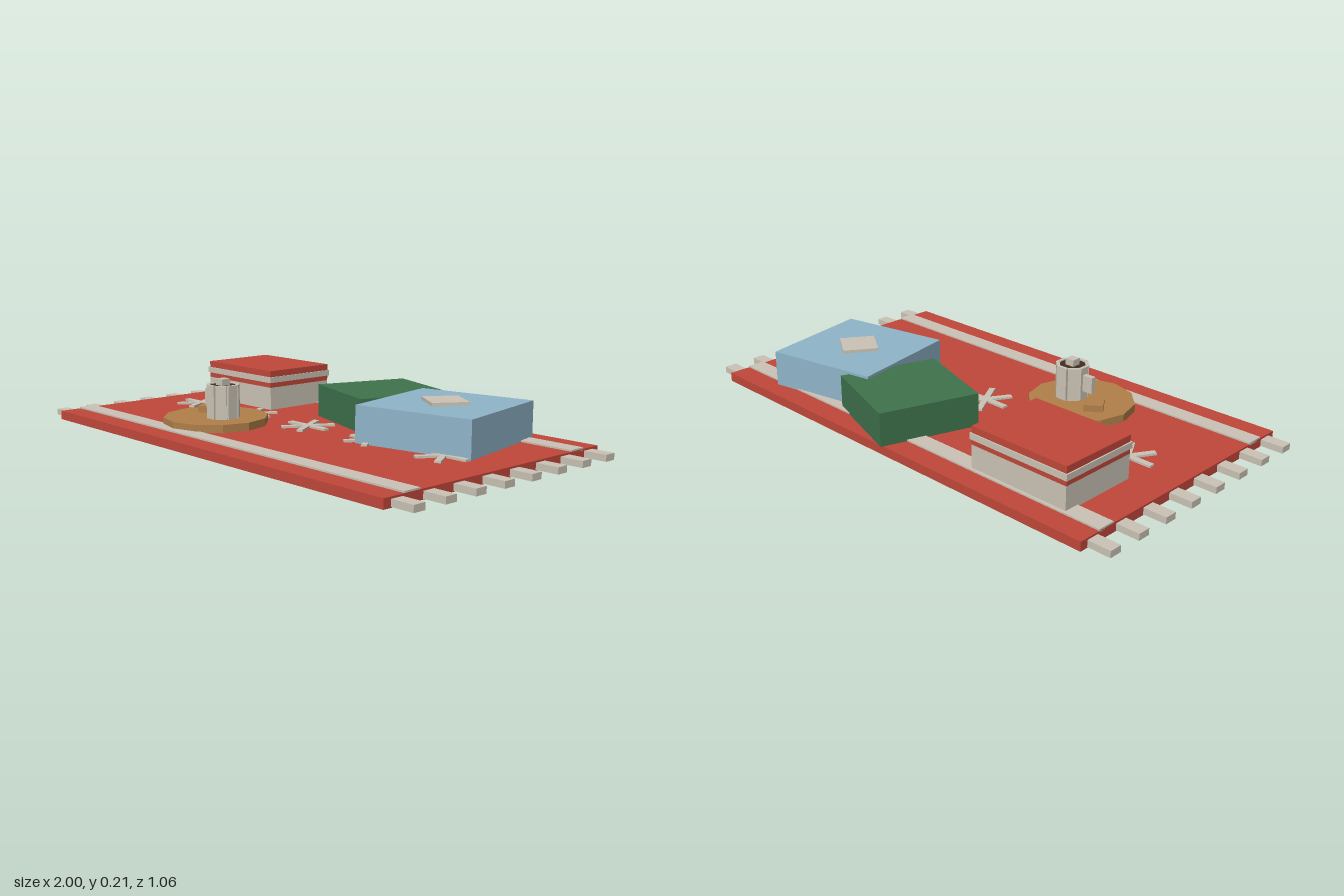
import * as THREE from 'three';

const mat = (name, color) => {
  const m = new THREE.MeshStandardMaterial({ color });
  m.name = name;
  return m;
};

export function createModel() {
  const red = mat('red', 0xc0473a);
  const cream = mat('cream', 0xcbc3b5);
  const green = mat('green', 0x3f724c);
  const blue = mat('pale blue', 0x90b4c9);
  const wood = mat('wood', 0xb07f49);
  const cocoa = mat('cocoa', 0x432e22);

  const model = new THREE.Group();
  model.name = 'rugWithGifts';

  // Box given by width, depth, bottom and top heights, centre and turn about y
  const box = (name, m, w, d, y0, y1, x, z, turn = 0, parent = model) => {
    const mesh = new THREE.Mesh(new THREE.BoxGeometry(w, y1 - y0, d), m);
    mesh.name = name;
    mesh.position.set(x, (y0 + y1) / 2, z);
    mesh.rotation.y = turn;
    parent.add(mesh);
    return mesh;
  };
  const disc = (name, m, r, y0, y1, x, z, sides) => {
    const geo = new THREE.CylinderGeometry(r, r, y1 - y0, sides).toNonIndexed();
    geo.computeVertexNormals();
    const mesh = new THREE.Mesh(geo, m);
    mesh.name = name;
    mesh.position.set(x, (y0 + y1) / 2, z);
    model.add(mesh);
  };

  // Rug with two long stripes and fringe at both ends
  const floor = 0.034, midZ = 0.005;
  box('rug', red, 1.825, 1.055, 0, floor, 0, midZ);
  for (const s of [-1, 1]) {
    box('rugStripe', cream, 1.825, 0.068, floor - 0.005, 0.04, 0, midZ + s * 0.408);
    for (let i = 0; i < 8; i++)
      box('fringe', cream, 0.11, 0.048, 0.003, 0.027, s * 0.945, midZ + (i - 3.5) * 0.135);
  }

  // Row of snowflakes, three crossed bars each
  for (let i = -2; i <= 2; i++) {
    const flake = new THREE.Group();
    flake.name = 'snowflake';
    flake.position.set(i * 0.337, 0, midZ);
    for (let k = 0; k < 3; k++)
      box('snowflakeBar', cream, 0.203, 0.023, floor - 0.004, 0.042, 0, 0, k * Math.PI / 3, flake);
    model.add(flake);
  }

  // Cream gift box with red lid and ribbon band
  box('giftBoxBase', cream, 0.408, 0.312, floor, 0.125, -0.566, -0.27);
  box('giftBoxLid', red, 0.408, 0.312, 0.125, 0.193, -0.566, -0.27);
  box('giftBoxBand', cream, 0.418, 0.322, 0.145, 0.168, -0.566, -0.27);

  // Green and blue parcels
  box('greenParcel', green, 0.377, 0.377, floor, 0.16, 0.098, -0.294, -0.317);
  box('blueParcel', blue, 0.456, 0.453, floor, 0.17, 0.506, -0.19, 0.2);
  box('parcelTag', cream, 0.139, 0.135, 0.17, 0.182, 0.504, -0.191, -0.57);

  // Round tray with a biscuit
  disc('tray', wood, 0.2, floor, 0.064, -0.289, 0.218, 12);
  box('biscuit', wood, 0.072, 0.068, 0.064, 0.089, -0.377, 0.184, 0.62);

  // Staved mug with cocoa, marshmallow and handle
  const mx = -0.24, mz = 0.22;
  for (let i = 0; i < 8; i++) {
    const a = i * Math.PI / 4;
    box('mugStave', cream, 0.042, 0.013, 0.064, 0.191,
      mx + Math.sin(a) * 0.0535, mz + Math.cos(a) * 0.0535, a);
  }
  disc('cocoa', cocoa, 0.05, 0.07, 0.187, mx, mz, 12);
  box('marshmallow', cream, 0.037, 0.037, 0.18, 0.212, mx, mz);
  box('mugHandle', cream, 0.045, 0.02, 0.1, 0.163, mx - 0.08, mz);

  return model;
}
